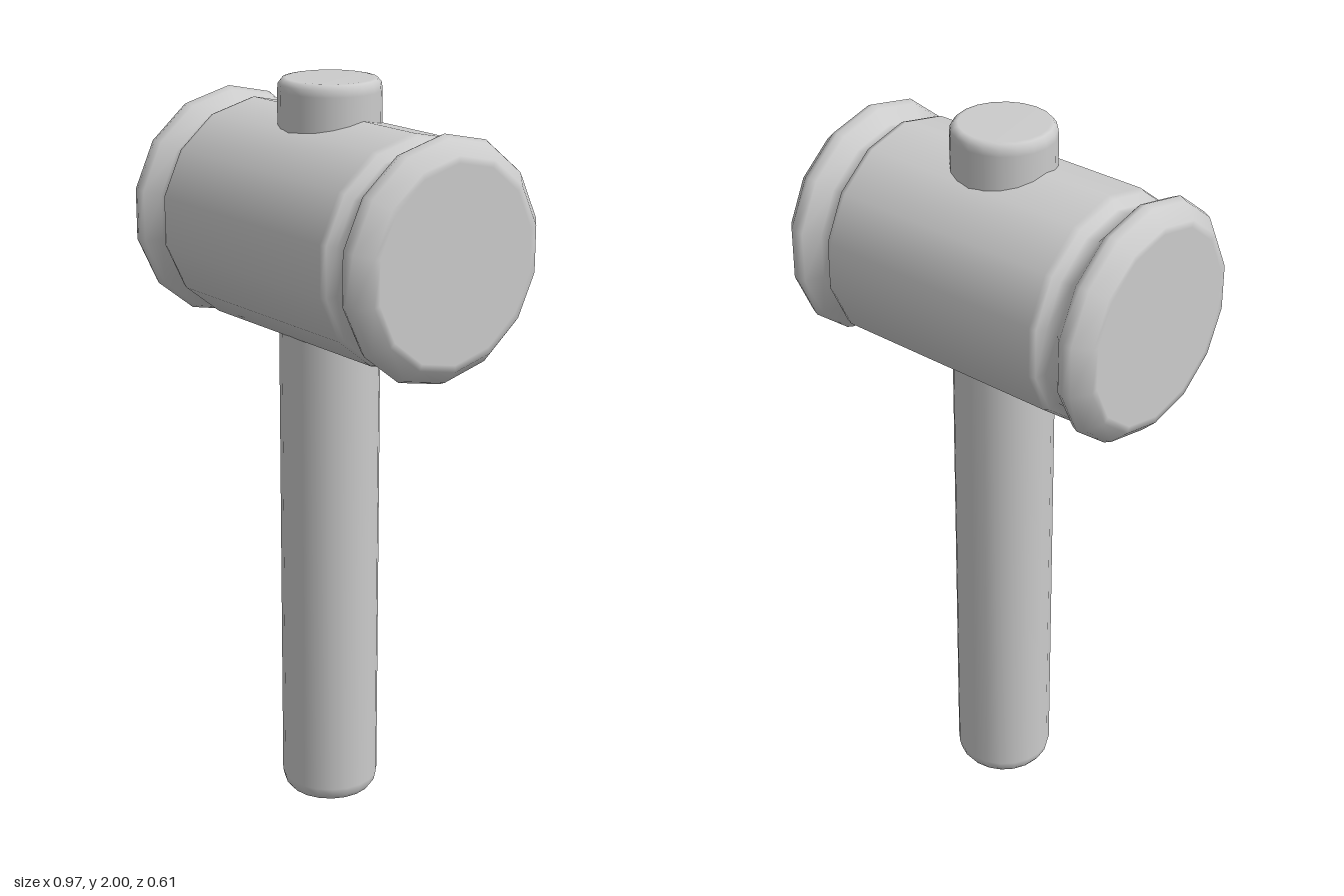
import * as THREE from 'three';

const material = new THREE.MeshStandardMaterial({ color: 0xcccccc });

// Revolve [radius, height] pairs, listed from bottom to top
function turned(name, profile, sides, start = 0) {
  const points = profile.map(([r, y]) => new THREE.Vector2(r, y));
  const mesh = new THREE.Mesh(new THREE.LatheGeometry(points, sides, start), material);
  mesh.name = name;
  return mesh;
}

export function createModel() {
  const group = new THREE.Group();
  group.name = 'mallet';

  // Handle, running right through the head, with bevelled ends
  group.add(turned('handle', [
    [0, 0], [0.108, 0], [0.118, 0.004], [0.128, 0.018], [0.133, 0.04],
    [0.133, 1.97], [0.131, 1.987], [0.122, 1.998], [0.112, 2], [0, 2],
  ], 20));

  // Head: barrel, groove and flared rim, mirrored about its middle
  const half = [
    [0.297, 0.318], [0.291, 0.335], [0.268, 0.347], [0.268, 0.38],
    [0.304, 0.412], [0.312, 0.43], [0.304, 0.449], [0.268, 0.486],
    [0.25, 0.486], [0, 0.486],
  ];
  const mirrored = half.map(([r, y]) => [r, -y]).reverse();
  const head = turned('head', [...mirrored, ...half], 14, Math.PI / 2);
  head.rotation.z = Math.PI / 2;
  head.position.y = 1.61;
  group.add(head);

  return group;
}
